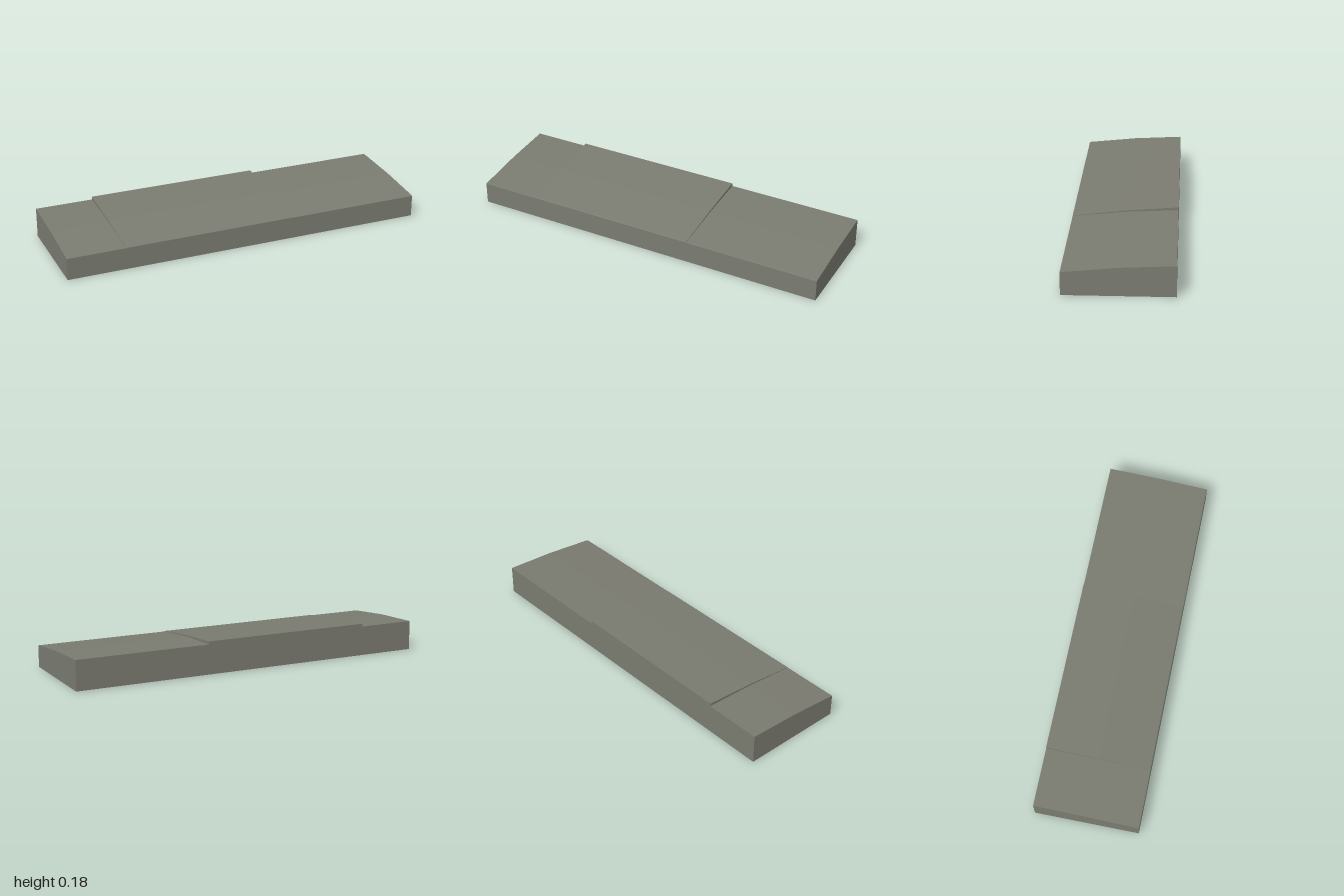
import * as THREE from 'three';

// Extrude a side profile of [z, y] points from x0 to x1
function extrudeAlongX(profile, x0, x1) {
  const shape = new THREE.Shape(profile.map(([z, y]) => new THREE.Vector2(-z, y)));
  const geometry = new THREE.ExtrudeGeometry(shape, { depth: x1 - x0, bevelEnabled: false });
  geometry.rotateY(Math.PI / 2);
  geometry.translate(x0, 0, 0);
  return geometry;
}

export function createModel() {
  const group = new THREE.Group();
  group.name = 'slopedSlab';
  const stone = new THREE.MeshStandardMaterial({ color: 0x7a7b70 });
  stone.name = 'grey stone';

  const front = 0.281, back = -0.281;
  const baseTop = [[front, 0.119], [0.272, 0.121], [0, 0.148], [back, 0.162]];
  const panelTop = [[front, 0.12], [0.276, 0.123], [0, 0.156], [back, 0.178]];

  // Full-length slab with a gently bent slope
  const base = new THREE.Mesh(
    extrudeAlongX([[back, 0], [front, 0], ...baseTop], -1, 1), stone);
  base.name = 'baseSlab';

  // Steeper panel that rises out of the slab towards the back
  const panel = new THREE.Mesh(
    extrudeAlongX([...baseTop, ...[...panelTop].reverse()], -0.685, 0.262), stone);
  panel.name = 'raisedPanel';

  group.add(base, panel);
  return group;
}
